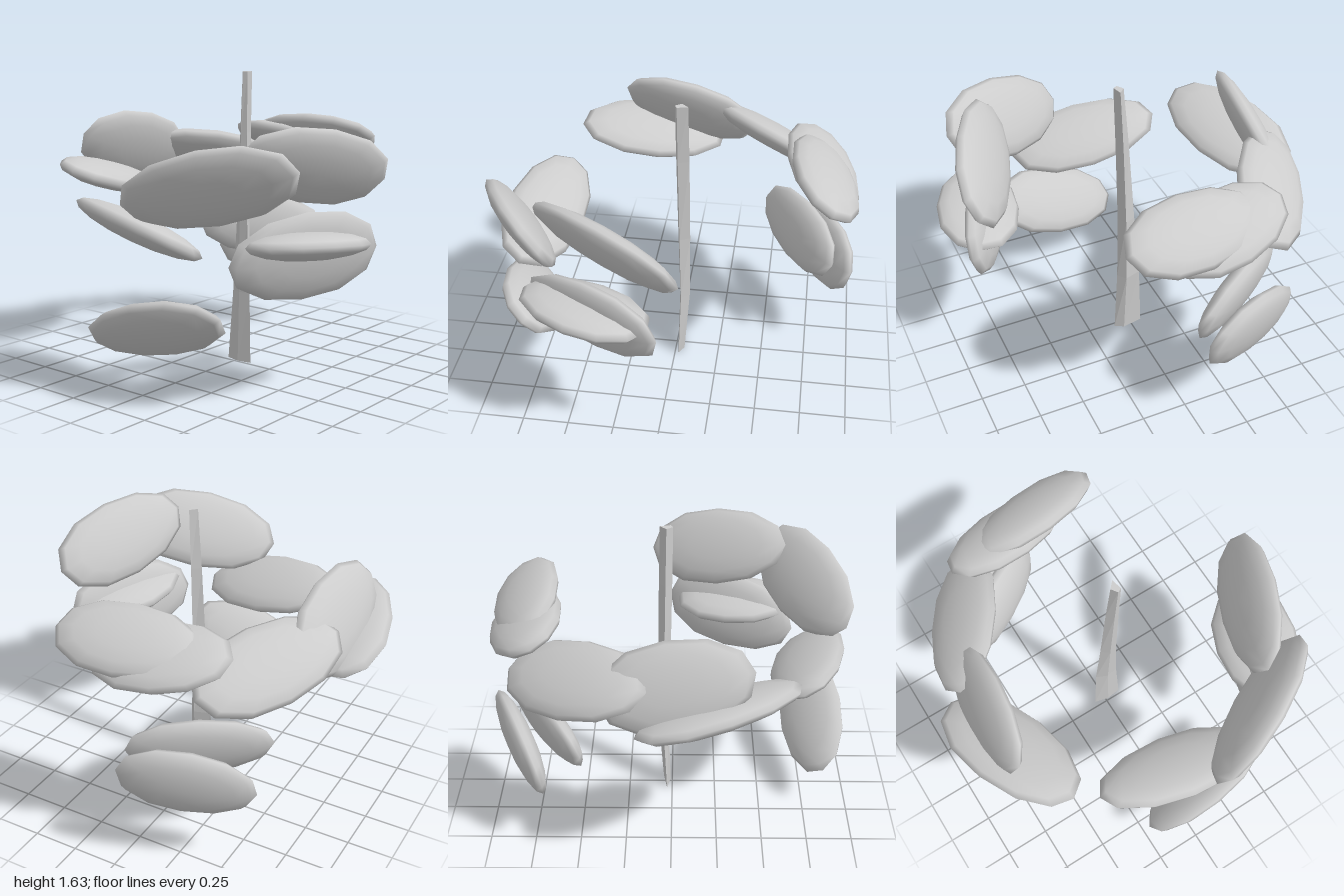
import * as THREE from 'three';

const V = (a) => new THREE.Vector3(...a);

// Each leaf: centre, half length vector, half width vector
const LEAVES = [
  // upper whorl
  [[-0.755, 1.115, 0.45], [0.2, 0.09, 0.385], [-0.135, 0.18, 0]],
  [[-0.26, 1.195, 0.72], [0.385, -0.09, 0.16], [0, 0.18, 0.12]],
  [[-0.02, 1.175, -0.74], [0.385, -0.1, 0.02], [0.055, 0.19, 0.1]],
  [[0.475, 1.115, -0.6], [0.36, -0.07, 0.21], [0.07, -0.12, -0.16]],
  [[0.78, 1.24, 0.01], [0.05, 0, 0.38], [0.17, -0.105, 0]],
  [[0.765, 1.19, -0.17], [0.07, -0.05, 0.355], [0.185, -0.09, -0.02]],
  [[-0.235, 1.03, -0.735], [0.41, -0.07, -0.135], [0.07, -0.07, 0.2]],
  // lower whorl
  [[-0.74, 0.87, -0.035], [-0.06, -0.07, 0.435], [0.19, -0.09, 0]],
  [[-0.345, 0.76, 0.72], [0.365, 0.02, 0.185], [-0.035, 0.22, 0.03]],
  [[-0.37, 0.82, 0.75], [0.335, -0.025, 0.1], [-0.06, 0.03, 0.21]],
  [[-0.81, 0.39, 0.145], [0.04, 0.11, 0.39], [-0.15, 0.14, -0.024]],
  [[0.665, 0.66, -0.325], [0.2, -0.01, 0.32], [0.04, 0.175, -0.025]],
  [[0.82, 0.54, -0.335], [0.15, 0.06, 0.32], [0.025, 0.195, -0.035]],
];

// Low-sided lens: blunt oval outline, flattened along y
function leafGeometry() {
  const g = new THREE.SphereGeometry(1, 12, 8);
  const p = g.attributes.position;
  for (let i = 0; i < p.count; i++) {
    const x = p.getX(i), z = p.getZ(i);
    const blunt = 1 + 0.12 * x * x * z * z; // fuller corners
    p.setX(i, x * blunt);
    p.setZ(i, z * blunt * (1 + 0.05 * x)); // one end slightly broader
  }
  return g;
}

// Thin twisted stem from four-cornered sections: [y, x0, x1, z0, z1]
function stemGeometry() {
  const rings = [
    [0, 0.01, 0.05, -0.065, 0.1],
    [0.4, 0.02, 0.078, -0.045, 0.085],
    [0.8, 0.01, 0.078, -0.015, 0.075],
    [1.3, 0, 0.072, 0.015, 0.08],
    [1.63, -0.005, 0.065, 0.04, 0.087],
  ].map(([y, x0, x1, z0, z1]) => {
    const xm = (x0 + x1) / 2, zm = (z0 + z1) / 2;
    return [[x0, y, zm], [x0 + 0.012, y, z1], [x1, y, zm + (z1 - zm) * 0.4], [xm, y, z0]];
  });
  const pos = [];
  const quad = (a, b, c, d) => pos.push(...a, ...b, ...c, ...a, ...c, ...d);
  for (let r = 0; r < rings.length - 1; r++) {
    for (let i = 0; i < 4; i++) {
      const j = (i + 1) % 4;
      quad(rings[r][i], rings[r][j], rings[r + 1][j], rings[r + 1][i]);
    }
  }
  const [b, t] = [rings[0], rings[rings.length - 1]];
  quad(t[0], t[1], t[2], t[3]);
  quad(b[3], b[2], b[1], b[0]);
  const g = new THREE.BufferGeometry();
  g.setAttribute('position', new THREE.Float32BufferAttribute(pos, 3));
  g.computeVertexNormals();
  return g;
}

export function createModel() {
  const model = new THREE.Group();
  model.name = 'plant';
  const grey = new THREE.MeshStandardMaterial({ color: 0xcccccc });
  grey.name = 'light grey';

  const stem = new THREE.Mesh(stemGeometry(), grey);
  stem.name = 'stem';
  model.add(stem);

  const leaves = new THREE.Group();
  leaves.name = 'leaves';
  const geo = leafGeometry();
  LEAVES.forEach(([c, d, w], i) => {
    const length = V(d), width = V(w);
    const x = length.clone().normalize();
    const y = width.clone().cross(x).normalize();
    const z = x.clone().cross(y);
    const leaf = new THREE.Mesh(geo, grey);
    leaf.name = `leaf${i + 1}`;
    leaf.position.copy(V(c));
    leaf.quaternion.setFromRotationMatrix(new THREE.Matrix4().makeBasis(x, y, z));
    leaf.scale.set(length.length(), 0.073, width.length() * 1.03);
    leaves.add(leaf);
  });
  model.add(leaves);
  return model;
}
